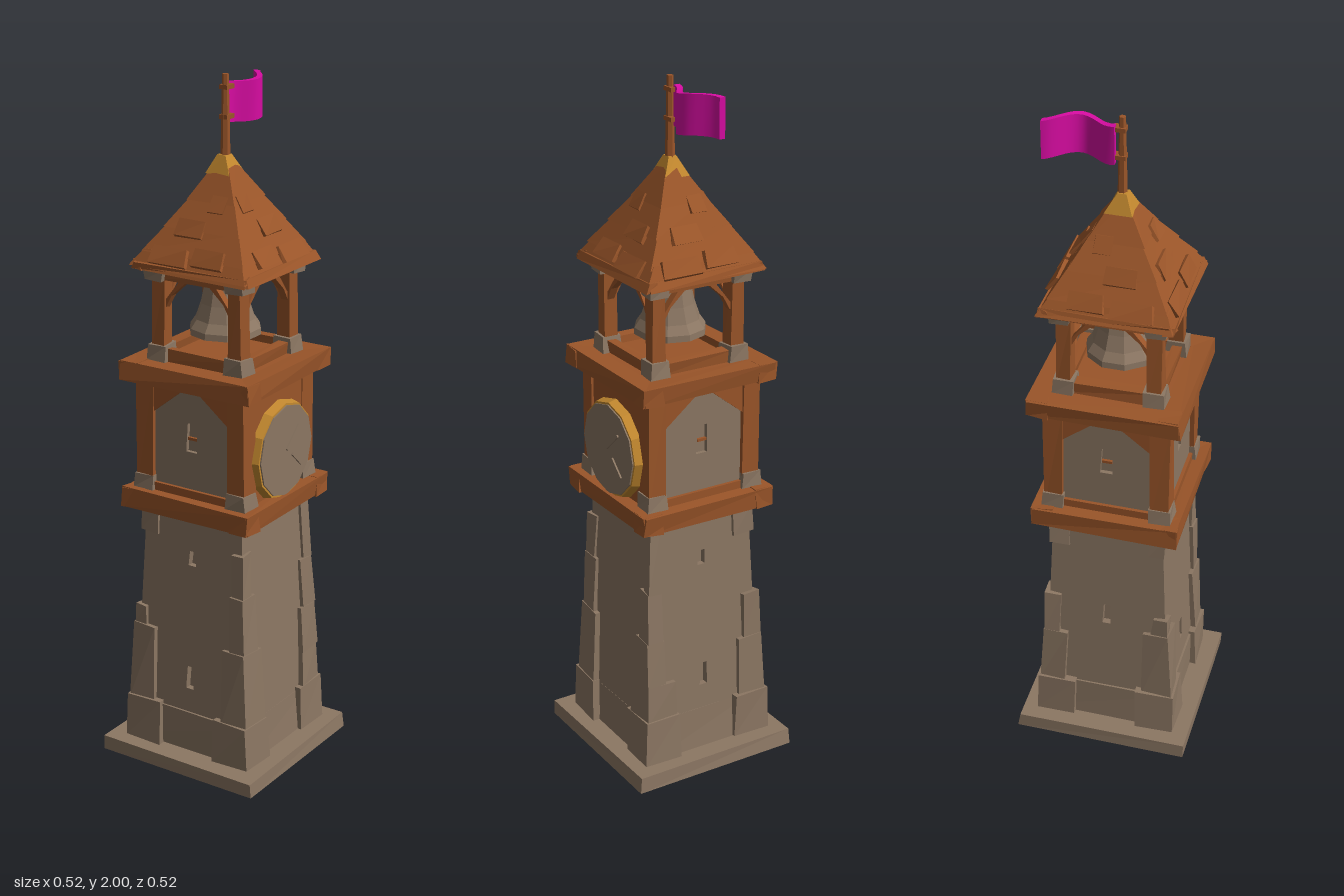
import * as THREE from 'three';

const material = (name, color) => {
  const m = new THREE.MeshStandardMaterial({ color });
  m.name = name;
  return m;
};

// Give a geometry hard facets
function faceted(geometry) {
  const g = geometry.index ? geometry.toNonIndexed() : geometry;
  g.computeVertexNormals();
  return g;
}

// Block with a base w x d and a scaled top, its corners nudged for a hewn look
function block(w, h, d, topX = 1, topZ = topX, rough = 0.004, seed = 1) {
  const g = new THREE.BoxGeometry(w, h, d), p = g.attributes.position;
  for (let i = 0; i < p.count; i++) {
    const corner = (p.getX(i) > 0 ? 1 : 0) + (p.getY(i) > 0 ? 2 : 0) + (p.getZ(i) > 0 ? 4 : 0);
    const nudge = k => rough * Math.sin((corner + 1) * 12.99 * k + seed * 7.31 + k);
    const up = p.getY(i) > 0;
    p.setXYZ(i, p.getX(i) * (up ? topX : 1) + nudge(1), p.getY(i) + nudge(2) * 0.5,
      p.getZ(i) * (up ? topZ : 1) + nudge(3));
  }
  return faceted(g);
}

export function createModel() {
  const stone = material('stone', 0x8c7763);
  const wood = material('wood', 0x9a5529);
  const gold = material('gold', 0xc4892f);
  const cloth = material('magenta cloth', 0xd80ca2);
  const model = new THREE.Group();
  model.name = 'bellTower';

  const add = (name, geometry, mat, x = 0, y = 0, z = 0, parent = model) => {
    const mesh = new THREE.Mesh(geometry, mat);
    mesh.name = name;
    mesh.position.set(x, y, z);
    parent.add(mesh);
    return mesh;
  };
  // Four groups turned so that local +z faces front, +x, back and -x
  const eachSide = (name, build) => {
    for (let i = 0; i < 4; i++) {
      const side = new THREE.Group();
      side.name = name + i;
      side.rotation.y = i * Math.PI / 2;
      model.add(side);
      build(side, i);
    }
  };
  const corners = [[1, 1], [1, -1], [-1, -1], [-1, 1]];
  const panel = (points, depth, holes = []) => {
    const shape = new THREE.Shape(points.map(p => new THREE.Vector2(...p)));
    holes.forEach(h => shape.holes.push(new THREE.Path(h.map(p => new THREE.Vector2(...p)))));
    return new THREE.ExtrudeGeometry(shape, { depth, bevelEnabled: false });
  };
  const slit = (y, h, w) => [[-w, y - h], [-w * 0.7, y + h], [w * 0.8, y + h], [w * 0.8, y - h]];

  // Foundation slab and plinth
  add('foundation', block(0.52, 0.045, 0.52, 0.99, 0.99, 0.003), stone, 0, 0.0245, 0);
  add('plinth', block(0.394, 0.125, 0.394, 0.97), stone, 0, 0.11, 0);
  corners.forEach(([sx, sz], i) => add('plinthCorner',
    block(0.12, 0.13 + 0.01 * (i % 2), 0.12, 0.94, 0.94, 0.004, i), stone, sx * 0.152, 0.115, sz * 0.152));

  // Tapered tower walls with sunken window slits
  add('towerCore', block(0.34, 0.68, 0.34, 0.84, 0.84, 0), stone, 0, 0.44, 0);
  const slits = [[0.28, 0.65], [], [0.28, 0.65], [0.45]];
  eachSide('towerWall', (side, i) => {
    const holes = slits[i].map(y => slit(y - 0.12, y > 0.6 ? 0.022 : 0.035, 0.014));
    const wall = add('wall', panel([[-0.19, 0], [0.19, 0], [0.161, 0.67], [-0.161, 0.67]], 0.022, holes),
      stone, 0, 0.12, 0.168, side);
    wall.rotation.x = -0.043;
  });

  // Uneven quoins up each corner: [bottom, top, width, depth]
  const quoins = [
    [[0.17, 0.40, 0.085, 0.10], [0.40, 0.57, 0.05, 0.07], [0.57, 0.70, 0.04, 0.05]],
    [[0.17, 0.29, 0.10, 0.09], [0.29, 0.43, 0.06, 0.08], [0.43, 0.58, 0.05, 0.06], [0.58, 0.77, 0.04, 0.04]],
    [[0.17, 0.36, 0.09, 0.08], [0.36, 0.50, 0.06, 0.05], [0.69, 0.775, 0.07, 0.06]],
    [[0.17, 0.41, 0.085, 0.09], [0.41, 0.47, 0.04, 0.05], [0.70, 0.775, 0.06, 0.05]],
  ];
  quoins.forEach((stack, i) => stack.forEach(([y0, y1, w, d], k) => {
    const [sx, sz] = corners[i], half = 0.206 - (y0 - 0.17) * 0.052 - 0.006;
    const quoin = add('quoin', block(w, y1 - y0, d, 0.9, 0.9, 0.004, i * 4 + k), stone,
      sx * (half - w / 2), (y0 + y1) / 2, sz * (half - d / 2));
    quoin.rotation.set(-sz * 0.03, 0, sx * 0.03);
  }));

  // Clock room: floor and ceiling beams, posts, stone panels and braces
  add('roomCore', new THREE.BoxGeometry(0.31, 0.34, 0.31), stone, 0, 1.0, 0);
  add('lowerSlab', new THREE.BoxGeometry(0.38, 0.05, 0.38), wood, 0, 0.81, 0);
  add('upperSlab', new THREE.BoxGeometry(0.38, 0.044, 0.38), wood, 0, 1.188, 0);
  eachSide('roomSide', (side, i) => {
    add('lowerBeam', block(0.424, 0.058, 0.06, 0.99, 1, 0.004, i), wood, 0, 0.81, 0.182, side);
    add('upperBeam', block(0.428, 0.052, 0.06, 0.99, 1, 0.004, i + 5), wood, 0, 1.19, 0.184, side);
    if (i === 1) {
      add('clockWall', new THREE.BoxGeometry(0.3, 0.34, 0.03), wood, 0, 1.0, 0.16, side);
      return;
    }
    add('stonePanel', panel([[-0.14, 0.83], [0.14, 0.83], [0.14, 1.17], [-0.14, 1.17]], 0.014,
      [slit(1.015, 0.042, 0.02)]), stone, 0, 0, 0.153, side);
    add('sill', new THREE.BoxGeometry(0.25, 0.025, 0.022), wood, 0, 0.85, 0.166, side);
    add('windowBar', new THREE.BoxGeometry(0.03, 0.008, 0.008), wood, 0, 1.012, 0.162, side);
    for (const s of [-1, 1]) {
      const pts = [[s * 0.135, 1.065], [s * 0.135, 1.17], [s * 0.012, 1.17], [s * 0.03, 1.148]];
      add('roomBrace', panel(pts, 0.022), wood, 0, 0, 0.153, side);
    }
  });
  corners.forEach(([sx, sz], i) => {
    add('roomPost', block(0.055, 0.33, 0.055, 1, 1, 0.003, i), wood, sx * 0.153, 1.0, sz * 0.153);
    add('postFoot', block(0.066, 0.045, 0.066, 0.9, 0.9, 0.003, i), stone, sx * 0.155, 0.86, sz * 0.155);
  });

  // Clock on the +x wall
  const clock = new THREE.Group();
  clock.name = 'clock';
  clock.position.set(0.175, 0.97, 0);
  clock.rotation.y = Math.PI / 2;
  model.add(clock);
  const rim = add('clockRim', faceted(new THREE.CylinderGeometry(0.139, 0.145, 0.026, 12)), gold, 0, 0, 0.013, clock);
  const dial = add('clockDial', faceted(new THREE.CylinderGeometry(0.133, 0.133, 0.03, 12)), stone, 0, 0, 0.015, clock);
  rim.rotation.x = dial.rotation.x = Math.PI / 2;
  for (const [x, y, len, angle] of [[0.028, 0.032, 0.085, 0.75], [0.05, -0.04, 0.065, -0.75]]) {
    add('clockHand', new THREE.BoxGeometry(len, 0.007, 0.006), stone, x, y, 0.032, clock).rotation.z = angle;
  }

  // Open belfry: parapet, posts with stone feet and caps, curved-in braces
  add('belfryFloor', new THREE.BoxGeometry(0.26, 0.02, 0.26), wood, 0, 1.218, 0);
  eachSide('belfrySide', (side, i) => {
    add('parapet', block(0.25, 0.036, 0.03, 1, 1, 0.003, i), wood, 0, 1.232, 0.128, side);
    add('headBeam', block(0.26, 0.035, 0.035, 1, 1, 0.003, i), wood, 0, 1.465, 0.127, side);
    for (const s of [-1, 1]) {
      const pts = [[s * 0.11, 1.36], [s * 0.11, 1.385], [s * 0.055, 1.455], [s * 0.03, 1.455], [s * 0.085, 1.405]];
      add('belfryBrace', panel(pts, 0.022), wood, 0, 0, 0.116, side);
    }
  });
  corners.forEach(([sx, sz], i) => {
    add('belfryFoot', block(0.062, 0.046, 0.062, 0.9, 0.9, 0.003, i), stone, sx * 0.127, 1.238, sz * 0.127);
    add('belfryPost', block(0.042, 0.21, 0.042, 0.95, 0.95, 0.003, i), wood, sx * 0.126, 1.35, sz * 0.126);
    add('belfryCap', block(0.055, 0.034, 0.055, 1.15, 1.15, 0.003, i), stone, sx * 0.132, 1.463, sz * 0.132);
  });

  // Bell with a thick hollow lip, clapper and hanger
  const bellProfile = [[0, 1.31], [0.07, 1.31], [0.088, 1.28], [0.103, 1.282], [0.102, 1.3], [0.085, 1.325],
    [0.07, 1.37], [0.058, 1.425], [0.04, 1.44], [0, 1.444]].map(p => new THREE.Vector2(...p));
  add('bell', faceted(new THREE.LatheGeometry(bellProfile, 10)), stone);
  add('bellHanger', new THREE.CylinderGeometry(0.014, 0.014, 0.06, 6), stone, 0, 1.46, 0);
  add('clapper', new THREE.SphereGeometry(0.02, 8, 6), stone, 0, 1.295, 0);

  // Roof in overlapping plank courses: [bottom, half width, top, half width]
  const courses = [[1.485, 0.19, 1.535, 0.156], [1.527, 0.165, 1.60, 0.115],
    [1.594, 0.122, 1.67, 0.072], [1.665, 0.077, 1.765, 0.018]];
  courses.forEach(([y0, a, y1, b], i) => add('roofCourse',
    block(a * 2, y1 - y0, a * 2, b / a, b / a, i ? 0.003 : 0.005, i + 2), wood, 0, (y0 + y1) / 2, 0));
  eachSide('roofSide', (side, i) => {
    add('eaveBoard', block(0.37, 0.022, 0.035, 0.97, 0.8, 0.006, i + 3), wood, 0, 1.49, 0.17, side);
    // Loose shingles standing proud of the slope
    [[-0.07, 1.512, 0.12], [0.055, 1.52, 0.10], [-0.03, 1.585, 0.09], [0.03, 1.65, 0.05]].forEach(([x, y, w], k) => {
      const shingle = add('shingle', block(w, 0.05, 0.01, 0.92, 1, 0.003, i * 4 + k), wood,
        i % 2 ? -x : x, y + 0.012, 0.178 - (y - 1.5) * 0.65, side);
      shingle.rotation.x = -0.6;
    });
  });

  // Gilded peak, flagpole and ties
  add('roofPeak', block(0.078, 0.052, 0.078, 0.35, 0.35, 0.003), gold, 0, 1.757, 0);
  add('flagpole', faceted(new THREE.CylinderGeometry(0.009, 0.014, 0.24, 6)), wood, 0, 1.88, 0);
  for (const y of [1.885, 1.965]) {
    add('flagTie', new THREE.BoxGeometry(0.026, 0.012, 0.036), wood, 0, y, -0.007);
  }

  // Waving flag flying toward the back
  const flag = new THREE.BoxGeometry(0.018, 0.11, 0.19, 1, 1, 14), p = flag.attributes.position;
  for (let i = 0; i < p.count; i++) {
    const t = 0.5 - p.getZ(i) / 0.19;
    p.setX(i, p.getX(i) - 0.004 - 0.026 * Math.cos(t * Math.PI * 2) + 0.02 * (1 - t));
    p.setY(i, p.getY(i) - 0.004 * Math.sin(t * Math.PI * 2));
  }
  flag.computeVertexNormals();
  add('flag', flag, cloth, 0, 1.922, -0.112);
  return model;
}
